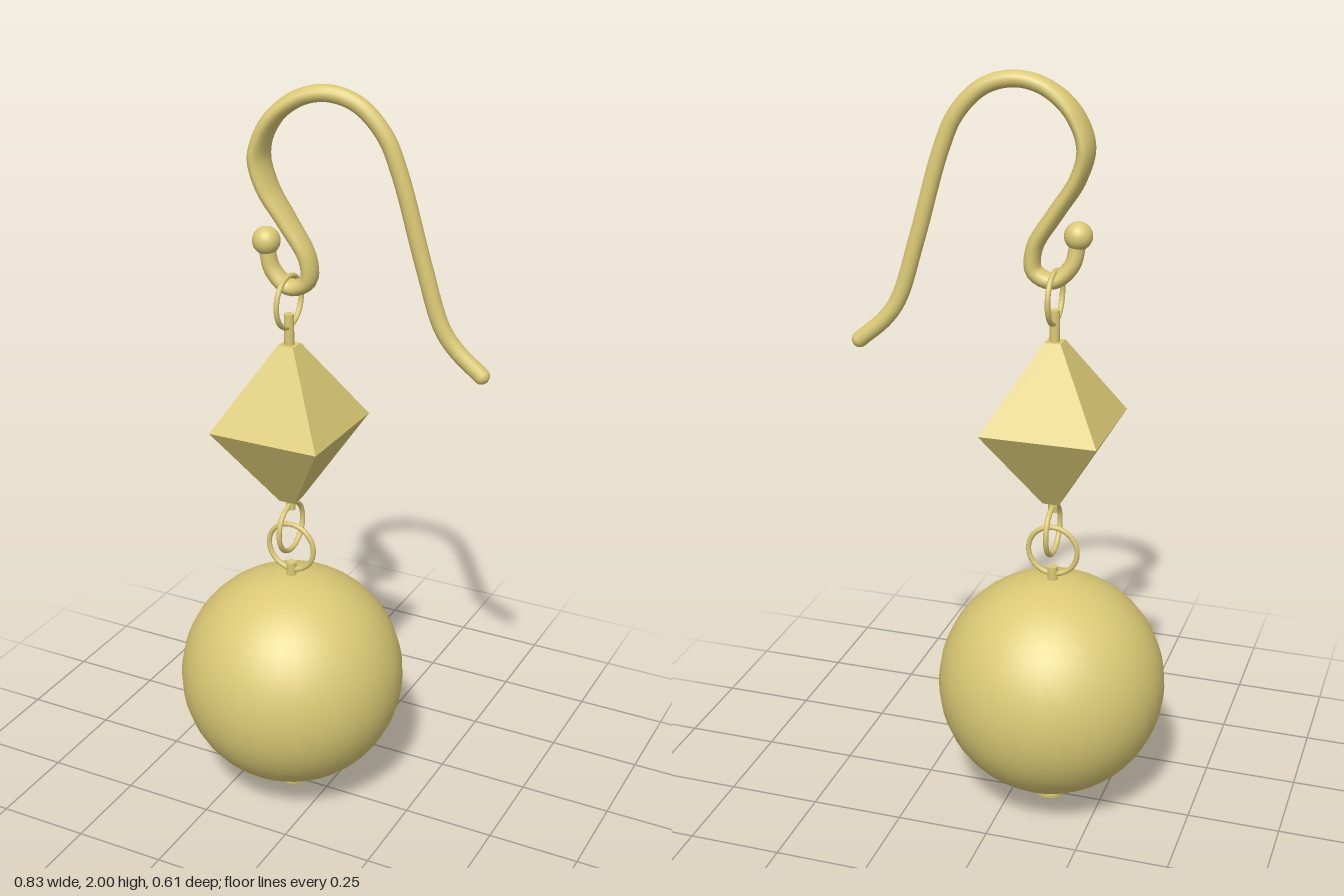
import * as THREE from 'three';
import { mergeVertices } from 'three/addons/utils/BufferGeometryUtils.js';

const AXIS = -0.107; // x of the hanging drop

export function createModel() {
  const model = new THREE.Group();
  model.name = 'dropEarring';
  const gold = new THREE.MeshStandardMaterial({ color: 0xdbc975 });
  gold.name = 'gold';

  function add(name, geometry, x, y, z = 0) {
    const mesh = new THREE.Mesh(geometry, gold);
    mesh.name = name;
    mesh.position.set(x, y, z);
    model.add(mesh);
    return mesh;
  }
  const post = (name, r, y0, y1) =>
    add(name, new THREE.CylinderGeometry(r, r, y1 - y0, 16), AXIS, (y0 + y1) / 2);
  const ring = (name, r, y, turn) => {
    add(name, new THREE.TorusGeometry(r, 0.007, 10, 40), AXIS, y).rotation.y = turn;
  };

  // Ear hook: x, y, z and how far the wire is flattened out in z
  const wire = 0.021;
  const path = [
    [-0.161, 1.59, 0.015, 1], [-0.147, 1.525, 0.01, 1.2], [-0.1, 1.483, 0.003, 1.4],
    [-0.052, 1.505, 0, 1.4], [-0.052, 1.565, 0.002, 1.5], [-0.105, 1.655, 0.008, 1.8],
    [-0.158, 1.74, 0.014, 2.2], [-0.177, 1.82, 0.016, 2.35], [-0.143, 1.905, 0.012, 2],
    [-0.075, 1.962, 0.003, 1.4], [0, 1.979, -0.008, 1.1], [0.075, 1.957, -0.018, 1],
    [0.14, 1.89, -0.027, 1], [0.178, 1.8, -0.034, 1], [0.24, 1.575, -0.048, 1],
    [0.288, 1.42, -0.058, 1], [0.325, 1.365, -0.065, 1], [0.392, 1.306, -0.072, 1],
  ];
  const curve = new THREE.CatmullRomCurve3(path.map(([x, y, z]) => new THREE.Vector3(x, y, z)));
  const steps = 140, sides = 16;
  let hook = new THREE.TubeGeometry(curve, steps, wire, sides, false);
  const pos = hook.attributes.position;
  for (let i = 0; i <= steps; i++) {
    const t = curve.getUtoTmapping(i / steps) * (path.length - 1);
    const a = Math.min(Math.floor(t), path.length - 2);
    const flat = THREE.MathUtils.lerp(path[a][3], path[a + 1][3], t - a);
    const centre = curve.getPointAt(i / steps);
    for (let j = 0; j <= sides; j++) {
      const v = i * (sides + 1) + j;
      pos.setZ(v, centre.z + (pos.getZ(v) - centre.z) * flat);
    }
  }
  hook.deleteAttribute('uv');
  hook.deleteAttribute('normal');
  hook = mergeVertices(hook, 1e-5);
  hook.computeVertexNormals();
  add('earHook', hook, 0, 0);
  add('hookBall', new THREE.SphereGeometry(0.036, 24, 16), -0.161, 1.6, 0.015);
  add('hookTip', new THREE.SphereGeometry(wire, 16, 12), ...path[path.length - 1].slice(0, 3));

  // Upper link and eyelet
  ring('upperRing', 0.067, 1.443, Math.PI / 2);
  post('upperPost', 0.013, 1.32, 1.41);

  // Faceted bead: two blunt square pyramids base to base
  for (const side of [1, -1]) {
    const half = new THREE.CylinderGeometry(0.022 * Math.SQRT2, 0.154 * Math.SQRT2, 0.22, 4, 1, false, Math.PI / 4)
      .toNonIndexed();
    half.computeVertexNormals();
    const mesh = add(side > 0 ? 'beadTop' : 'beadBottom', half, AXIS, 1.108 + side * 0.11);
    if (side < 0) mesh.rotation.x = Math.PI;
  }

  // Lower links
  post('lowerPost', 0.013, 0.86, 0.9);
  ring('lowerRing', 0.067, 0.807, Math.PI / 2);
  ring('ballRing', 0.067, 0.746, 0);
  post('ballPost', 0.014, 0.65, 0.7);

  // Large ball and the pin head under it
  add('ball', new THREE.SphereGeometry(0.307, 36, 28), AXIS, 0.357);
  post('pin', 0.013, 0.02, 0.06);
  const head = [[0, 0], [0.038, 0], [0.044, 0.005], [0.044, 0.025], [0.038, 0.031], [0, 0.031]];
  add('pinHead', new THREE.LatheGeometry(head.map(([r, y]) => new THREE.Vector2(r, y)), 24), AXIS, 0);

  return model;
}
